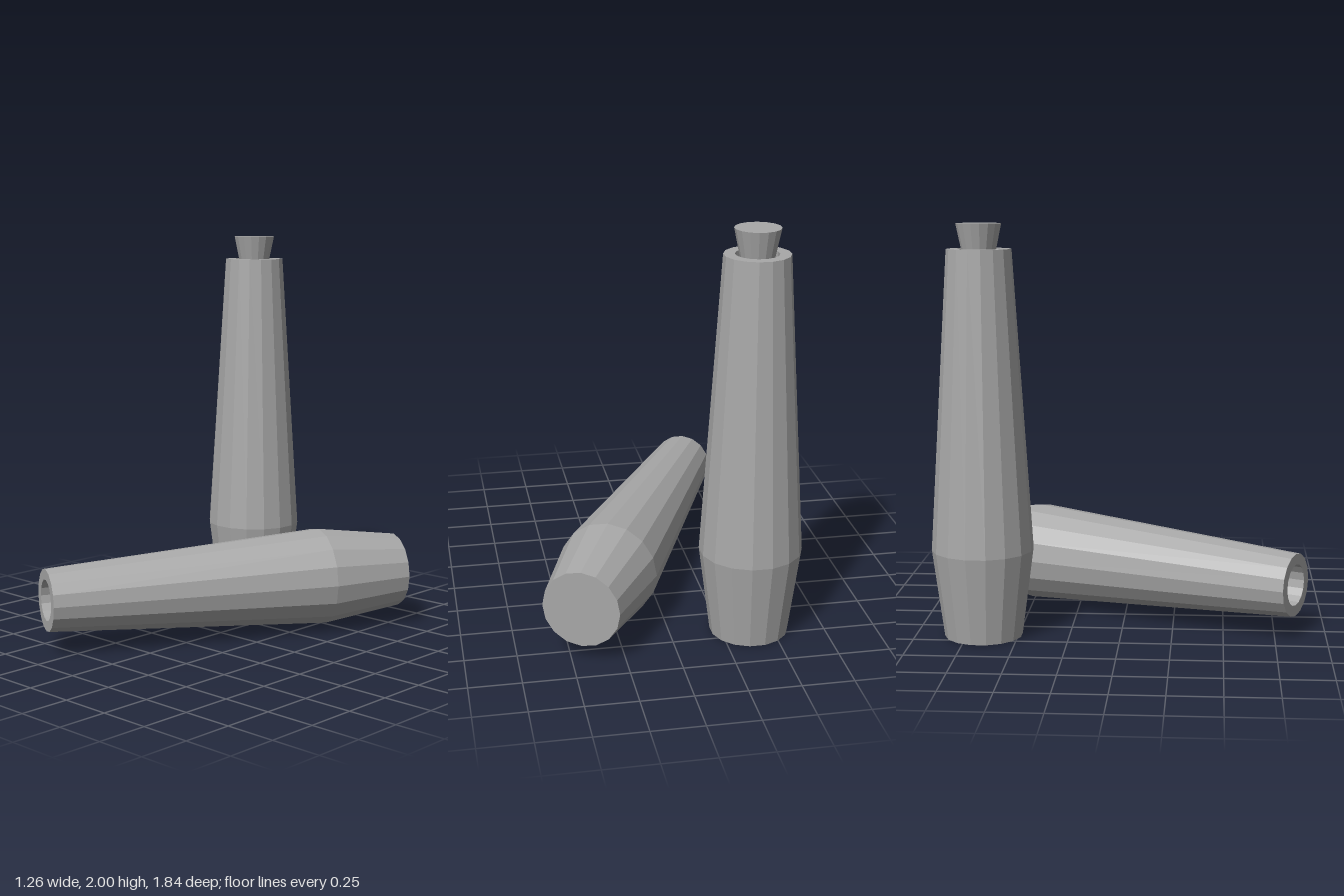
import * as THREE from 'three';

const SIDES = 16;

// Revolves a [radius, height] profile into a faceted solid
function turned(name, profile, material) {
  const points = profile.map(([r, y]) => new THREE.Vector2(r, y));
  const mesh = new THREE.Mesh(new THREE.LatheGeometry(points, SIDES), material);
  mesh.name = name;
  return mesh;
}

export function createModel() {
  const grey = new THREE.MeshStandardMaterial({ color: 0xa8a8a8, flatShading: true });
  grey.name = 'plain grey';

  // Tapered body with a flat foot and a bored mouth
  const bodyProfile = [
    [0, 0], [0.19, 0], [0.247, 0.43], [0.155, 1.88],
    [0.102, 1.88], [0.102, 1.3], [0, 1.3],
  ];
  // Stopper, wider at the top, sunk into the mouth
  const stopperProfile = [[0, 1.76], [0.058, 1.76], [0.108, 2], [0, 2]];

  const model = new THREE.Group();
  model.name = 'pair of tapered vessels';

  // Upright vessel with its stopper
  const upright = new THREE.Group();
  upright.name = 'uprightVessel';
  upright.add(turned('uprightBody', bodyProfile, grey));
  upright.add(turned('stopper', stopperProfile, grey));
  upright.position.set(-0.39, 0, -0.67);
  upright.rotation.y = Math.PI / SIDES;
  model.add(upright);

  // Open vessel lying level, mouth towards the front
  const lying = new THREE.Group();
  lying.name = 'lyingVessel';
  const lyingBody = turned('lyingBody', bodyProfile, grey);
  lyingBody.rotation.x = Math.PI / 2;
  lying.add(lyingBody);
  lying.position.set(0.455, 0.265, -0.843);
  lying.rotation.y = -0.452;
  model.add(lying);

  return model;
}
